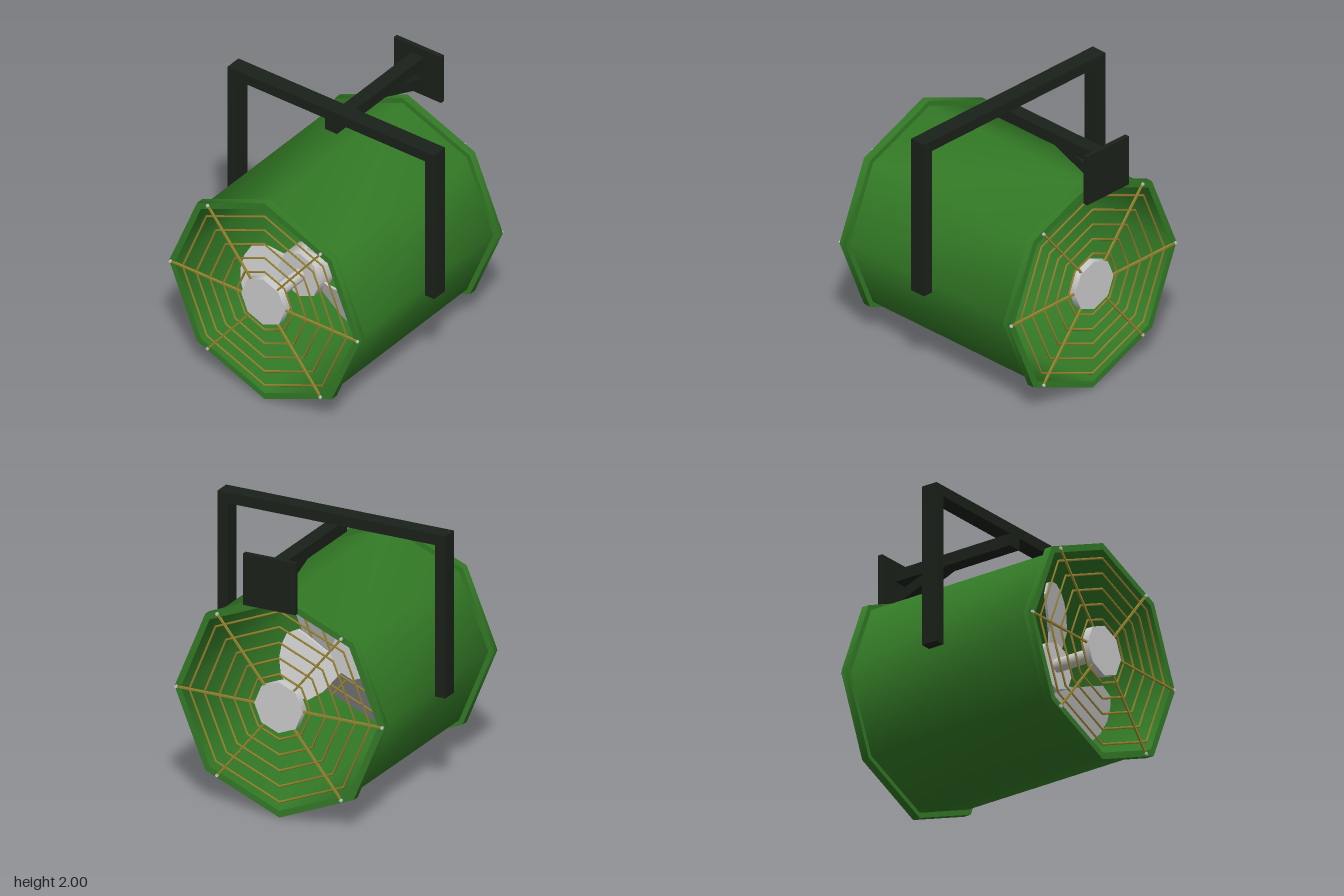
import * as THREE from 'three';
import { toCreasedNormals } from 'three/addons/utils/BufferGeometryUtils.js';

const mat = (color) => new THREE.MeshStandardMaterial({ color });
const AXIS_Y = 0.825; // height of the fan axis

export function createModel() {
  const green = mat(0x337a26), dark = mat(0x1a211a), gold = mat(0x9a8530), grey = mat(0xcccccc);
  const model = new THREE.Group();
  model.name = 'hangingDrumFan';

  const add = (parent, name, geometry, material, x = 0, y = 0, z = 0) => {
    const mesh = new THREE.Mesh(geometry, material);
    mesh.name = name;
    mesh.position.set(x, y, z);
    parent.add(mesh);
    return mesh;
  };
  // box given by its min and max corners
  const box = (parent, name, a, b, material) =>
    add(parent, name, new THREE.BoxGeometry(b[0] - a[0], b[1] - a[1], b[2] - a[2]), material,
      (a[0] + b[0]) / 2, (a[1] + b[1]) / 2, (a[2] + b[2]) / 2);
  // eight-sided disc along z
  const disc = (r, depth) => new THREE.CylinderGeometry(r, r, depth, 8).rotateX(Math.PI / 2);

  const fan = new THREE.Group();
  fan.name = 'fan';
  fan.position.y = AXIS_Y;
  model.add(fan);

  // octagonal drum with a raised rim at each end, open through the middle
  const profile = [
    [0.775, -0.757], [0.825, -0.757], [0.825, -0.7], [0.785, -0.7],
    [0.785, 0.83], [0.825, 0.83], [0.825, 0.89], [0.775, 0.89], [0.775, -0.757],
  ].map(([r, z]) => new THREE.Vector2(r, z));
  const drum = new THREE.LatheGeometry(profile, 8).rotateX(Math.PI / 2);
  add(fan, 'drum', toCreasedNormals(drum, 0.9), green);

  // guard at each end: octagonal wires, three crossing bars, bolts and a centre cap
  for (const [name, z, out] of [['frontGuard', 0.892, 1], ['backGuard', -0.759, -1]]) {
    const guard = new THREE.Group();
    guard.name = name;
    guard.position.z = z;
    fan.add(guard);
    for (let i = 0; i < 5; i++)
      add(guard, 'guardRing', new THREE.TorusGeometry(0.243 + i * 0.117, 0.009, 4, 8), gold, 0, 0, -out * 0.006);
    for (const [angle, r] of [[0, 0.81], [0.89, 0.775], [-0.89, 0.775]]) {
      const bar = add(guard, 'guardBar', new THREE.BoxGeometry(2 * r, 0.014, 0.014), gold);
      bar.rotation.z = angle;
      for (const s of [-1, 1])
        add(guard, 'guardBolt', disc(0.012, 0.02), grey, s * r * Math.cos(angle), s * r * Math.sin(angle), 0);
    }
    add(guard, 'centreCap', disc(0.19, 0.06), grey, 0, 0, -out * 0.017);
  }

  // rotor: hub, shaft and three pitched blades
  const rotor = new THREE.Group();
  rotor.name = 'rotor';
  rotor.position.z = 0.4;
  fan.add(rotor);
  add(rotor, 'hub', disc(0.18, 0.18), grey);
  add(rotor, 'shaft', disc(0.05, 0.45), grey, 0, 0, 0.25);

  const outline = [
    [0.0, 0.14], [0.02, 0.2], [0, 0.28], [-0.07, 0.395], [-0.13, 0.505], [-0.1, 0.6], [-0.03, 0.64],
    [0.06, 0.66], [0.16, 0.645], [0.24, 0.6], [0.3, 0.525], [0.33, 0.42], [0.27, 0.29], [0.2, 0.21], [0.12, 0.12],
  ].map(([x, y]) => new THREE.Vector2(x, y));
  const blade = new THREE.ExtrudeGeometry(new THREE.Shape(outline), { depth: 0.02, bevelEnabled: false });
  const p = blade.attributes.position;
  for (let i = 0; i < p.count; i++) // pitch about the blade's radial line
    p.setZ(i, p.getZ(i) - 0.01 - 0.35 * (p.getX(i) - 0.23 * p.getY(i)));
  blade.computeVertexNormals();
  for (const degrees of [0, -100, 135])
    add(rotor, 'blade', blade, grey).rotation.z = THREE.MathUtils.degToRad(degrees);

  // yoke over the drum
  const bracket = new THREE.Group();
  bracket.name = 'wallBracket';
  model.add(bracket);
  box(bracket, 'yokeBar', [-0.895, 1.92, 0], [0.895, 2, 0.125], dark);
  box(bracket, 'yokeLeftLeg', [0.815, 0.79, 0], [0.895, 1.92, 0.125], dark);
  box(bracket, 'yokeRightLeg', [-0.895, 0.79, 0], [-0.815, 1.92, 0.125], dark);

  // arm back to the wall plate, with a diagonal brace below
  box(bracket, 'arm', [-0.053, 1.83, -0.872], [0.053, 1.92, 0.125], dark);
  box(bracket, 'wallPlate', [-0.205, 1.6, -0.905], [0.205, 1.985, -0.87], dark);
  const side = new THREE.Shape([[0.43, 1.83], [0.872, 1.655], [0.872, 1.74], [0.62, 1.83]]
    .map(([z, y]) => new THREE.Vector2(z, y)));
  const brace = new THREE.ExtrudeGeometry(side, { depth: 0.1, bevelEnabled: false })
    .translate(0, 0, -0.05).rotateY(Math.PI / 2);
  add(bracket, 'brace', brace, dark);

  return model;
}
